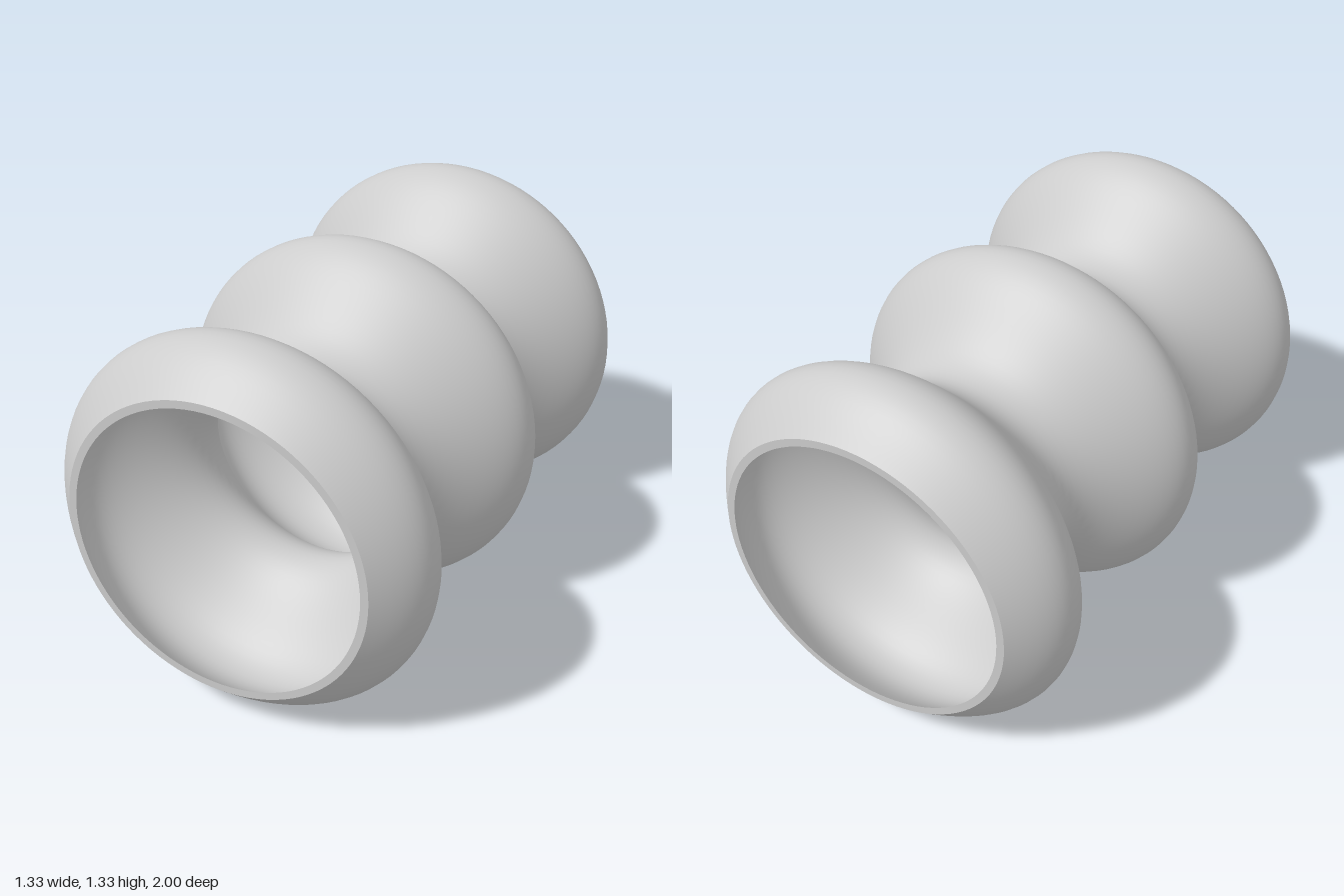
import * as THREE from 'three';

const MID = 0.533, WAVE = 0.133, PITCH = 0.8, WALL = 0.027;
const STEPS = 80, SIDES = 96;

// Radius of the corrugated outer wall at a position along the axis
const radiusAt = (z) => MID + WAVE * Math.cos((2 * Math.PI * z) / PITCH);

// Wavy profile from one end to the other, inset by the wall thickness
function profile(inset) {
  const points = [];
  for (let i = 0; i <= STEPS; i++) {
    const z = -1 + (2 * i) / STEPS;
    points.push(new THREE.Vector2(radiusAt(z) - inset, z));
  }
  return points;
}

export function createModel() {
  const model = new THREE.Group();
  model.name = 'corrugatedTube';
  const material = new THREE.MeshStandardMaterial({ color: 0xcccccc });

  const addLathe = (name, points) => {
    const geometry = new THREE.LatheGeometry(points, SIDES);
    geometry.rotateX(Math.PI / 2); // lay the axis along z
    const mesh = new THREE.Mesh(geometry, material);
    mesh.name = name;
    mesh.position.y = MID + WAVE;
    model.add(mesh);
  };

  // Walls: the inner one runs backwards so that it faces the axis
  const outer = profile(0);
  const inner = profile(WALL).reverse();
  addLathe('outerWall', outer);
  addLathe('innerWall', inner);

  // Flat rims joining the walls at both ends
  addLathe('frontRim', [outer[STEPS], inner[0]]);
  addLathe('backRim', [inner[STEPS], outer[0]]);

  return model;
}
